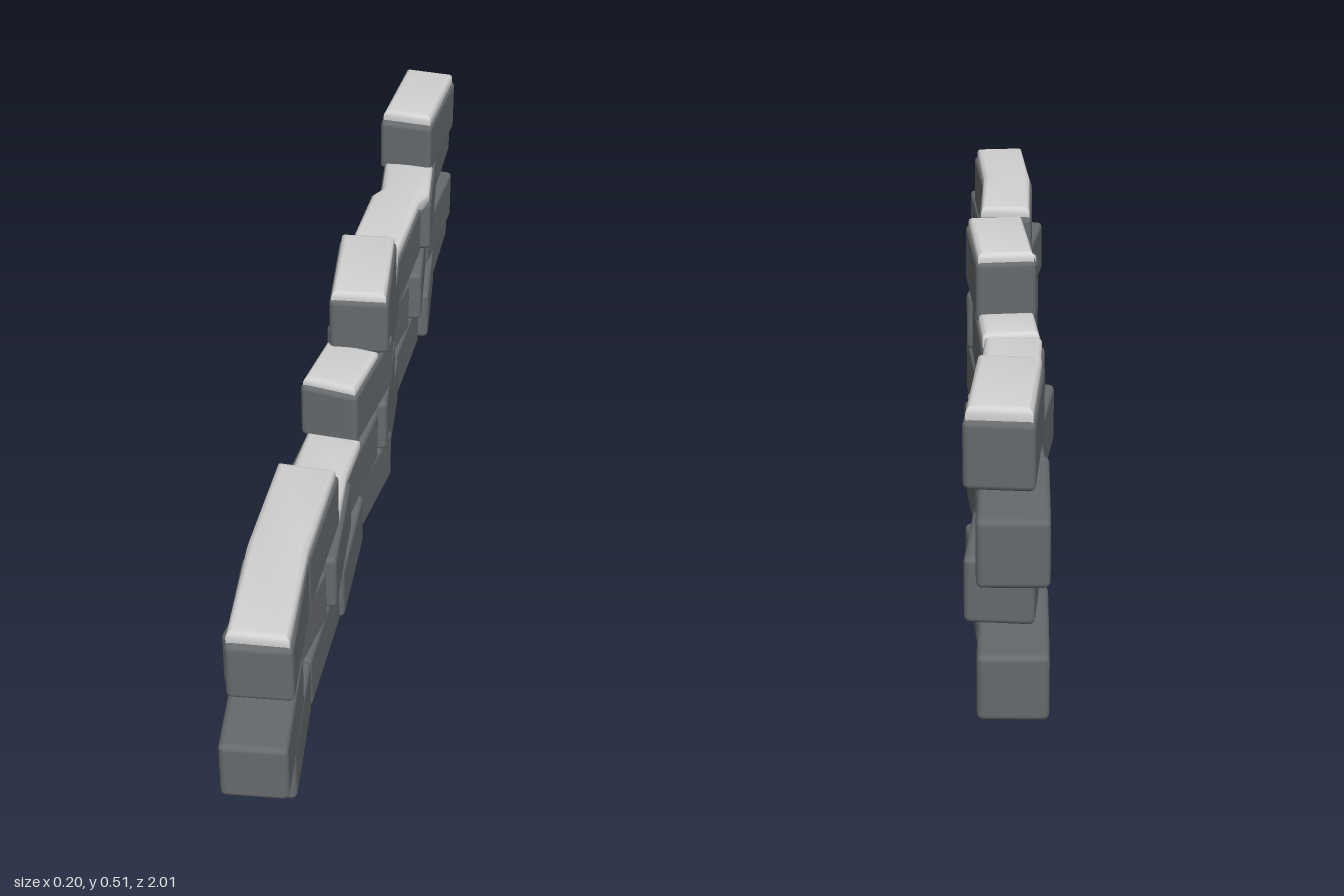
import * as THREE from 'three';
import { toCreasedNormals } from 'three/addons/utils/BufferGeometryUtils.js';
import { RoundedBoxGeometry } from 'three/addons/geometries/RoundedBoxGeometry.js';

const BRICK_W = 0.118, BRICK_H = 0.122, ROW_STEP = 0.1225;

export function createModel() {
  const stone = new THREE.MeshStandardMaterial({ color: 0x666a6d });
  stone.name = 'dark stone';
  const snow = new THREE.MeshStandardMaterial({ color: 0xd2d2d2 });
  snow.name = 'pale cap';

  const wall = new THREE.Group();
  wall.name = 'brickWall';

  // One brick, running from its front centre (xa, za) to its back centre (xb, zb)
  function addBrick(row, name, [xa, za, xb, zb]) {
    const yaw = Math.atan2(xa - xb, za - zb);
    const length = (za - zb - BRICK_W * Math.abs(Math.sin(yaw))) / Math.cos(yaw) + 0.008;
    const brick = new THREE.Mesh(new RoundedBoxGeometry(BRICK_W, BRICK_H, length, 2, 0.011), stone);
    brick.name = name;
    brick.position.set((xa + xb) / 2, row * ROW_STEP + BRICK_H / 2, (za + zb) / 2);
    brick.rotation.y = yaw;
    wall.add(brick);
  }

  // Bevelled slab following a path of [x, z] centres over the exposed brick tops
  function addCap(top, name, path) {
    const half = 0.054, left = [], right = [];
    path.forEach(([x, z], i) => {
      const p = path[Math.max(i - 1, 0)], q = path[Math.min(i + 1, path.length - 1)];
      const dx = q[0] - p[0], dz = q[1] - p[1], d = Math.hypot(dx, dz);
      const nx = -dz / d * half, nz = dx / d * half;
      left.push(new THREE.Vector2(x - nx, -(z - nz)));
      right.push(new THREE.Vector2(x + nx, -(z + nz)));
    });
    const geometry = new THREE.ExtrudeGeometry(new THREE.Shape([...right, ...left.reverse()]), {
      depth: 0.016, bevelEnabled: true, bevelThickness: 0.012,
      bevelSize: 0.012, bevelOffset: -0.012, bevelSegments: 3,
    });
    geometry.rotateX(-Math.PI / 2);
    const cap = new THREE.Mesh(toCreasedNormals(geometry, 0.7), snow);
    cap.name = name;
    cap.position.y = top - 0.028;
    wall.add(cap);
  }

  // Odd courses share one layout; the upper one has a gap at the third brick
  const oddCourse = [
    [0.027, 0.892, 0.002, 0.66],
    [0.003, 0.657, 0.005, 0.42],
    [0.012, 0.417, 0.002, 0.182],
    [-0.012, 0.182, 0.02, -0.053],
    [0.006, -0.058, -0.017, -0.295],
    [-0.021, -0.3, -0.012, -0.533],
    [0.007, -0.537, -0.02, -0.77],
    [-0.025, -0.77, -0.026, -1.0],
  ];
  // Even courses share the other; the top one keeps only two bricks
  const evenCourse = [
    [0.041, 1.0, 0.014, 0.765],
    [-0.023, 0.762, 0.01, 0.53],
    [0.02, 0.525, -0.001, 0.288],
    [-0.011, 0.285, 0.009, 0.05],
    [0.022, 0.045, -0.006, -0.192],
    [-0.042, -0.193, -0.013, -0.425],
    [0.008, -0.43, -0.022, -0.663],
    [-0.018, -0.67, -0.002, -0.907],
  ];
  const courses = [
    { layout: oddCourse, keep: () => true },
    { layout: evenCourse, keep: () => true },
    { layout: oddCourse, keep: i => i !== 2 },
    { layout: evenCourse, keep: i => i === 4 || i === 7 },
  ];
  courses.forEach(({ layout, keep }, row) => layout.forEach((ends, i) => {
    if (keep(i)) addBrick(row, `brickRow${row + 1}Number${i + 1}`, ends);
  }));

  // Pale caps on the stepped top
  addCap(0.389, 'frontCap', [[0.024, 0.88], [0.004, 0.655], [0.004, 0.428]]);
  addCap(0.265, 'gapCap', [[0.008, 0.42], [-0.004, 0.29], [0, 0.18]]);
  addCap(0.382, 'stepCap', [[-0.011, 0.17], [0.008, 0.035]]);
  addCap(0.507, 'middleTopCap', [[0.02, 0.035], [-0.005, -0.183]]);
  addCap(0.387, 'lowCap', [[-0.005, -0.185], [-0.016, -0.292]]);
  addCap(0.388, 'rearLowCap', [[-0.02, -0.31], [-0.013, -0.525], [0.004, -0.56], [-0.01, -0.68]]);
  addCap(0.512, 'rearTopCap', [[-0.017, -0.682], [-0.003, -0.898]]);

  return wall;
}
